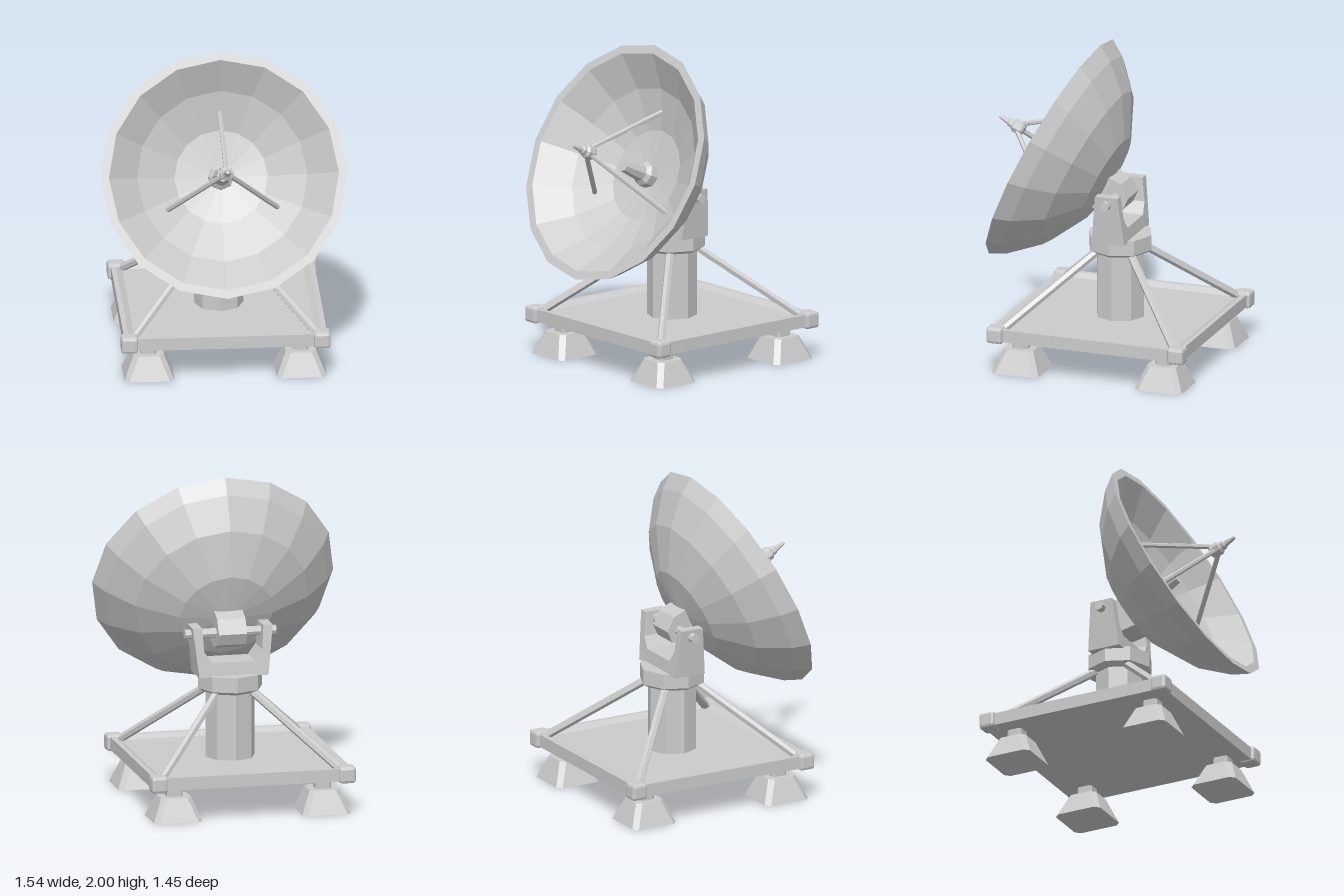
import * as THREE from 'three';
import { RoundedBoxGeometry } from 'three/addons/geometries/RoundedBoxGeometry.js';

const material = new THREE.MeshStandardMaterial({ color: 0xcccccc, flatShading: true });

function add(parent, name, geometry, x = 0, y = 0, z = 0) {
  const mesh = new THREE.Mesh(geometry, material);
  mesh.name = name;
  mesh.position.set(x, y, z);
  parent.add(mesh);
  return mesh;
}

// Faceted solid of revolution from [radius, height] pairs
function turned(profile, sides) {
  return new THREE.LatheGeometry(profile.map(([r, h]) => new THREE.Vector2(r, h)), sides);
}

// Straight bar between two points
function bar(parent, name, from, to, radius, sides) {
  const dir = to.clone().sub(from);
  const mesh = add(parent, name, new THREE.CylinderGeometry(radius, radius, dir.length(), sides));
  mesh.position.copy(from).add(to).multiplyScalar(0.5);
  mesh.quaternion.setFromUnitVectors(new THREE.Vector3(0, 1, 0), dir.normalize());
}

// Square block with bevelled upright edges, standing on y = 0
function bevelledBlock(bottom, top, height, bevel) {
  const geometry = new THREE.CylinderGeometry(1, 1, height, 8, 1, false, Math.PI / 8);
  geometry.translate(0, height / 2, 0);
  const p = geometry.attributes.position;
  for (let i = 0; i < p.count; i++) {
    const half = p.getY(i) > height / 2 ? top : bottom;
    const square = (v) => Math.abs(v) < 0.01 ? 0 : Math.sign(v) * (Math.abs(v) > 0.7 ? half : half - bevel);
    p.setX(i, square(p.getX(i)));
    p.setZ(i, square(p.getZ(i)));
  }
  geometry.computeVertexNormals();
  return geometry;
}

function shapeFrom(points) {
  return new THREE.Shape(points.map(([x, y]) => new THREE.Vector2(x, y)));
}

function createBase() {
  const base = new THREE.Group();
  base.name = 'base';

  // Square platform with a raised rim
  const s = Math.SQRT2;
  const platform = turned([[0, 0.21], [0.63 * s, 0.21], [0.63 * s, 0.29], [0.6 * s, 0.29],
    [0.56 * s, 0.265], [0, 0.265]], 4);
  add(base, 'platform', platform.rotateY(Math.PI / 4));

  // Feet, corner blocks and diagonal braces
  for (const sx of [-1, 1]) {
    for (const sz of [-1, 1]) {
      add(base, 'foot', bevelledBlock(0.155, 0.095, 0.145, 0.03), sx * 0.473, 0, sz * 0.473);
      add(base, 'footNeck', bevelledBlock(0.05, 0.05, 0.08, 0.015), sx * 0.473, 0.14, sz * 0.473);
      add(base, 'cornerBlock', new RoundedBoxGeometry(0.105, 0.105, 0.105, 1, 0.018), sx * 0.598, 0.25, sz * 0.598);
      bar(base, 'brace', new THREE.Vector3(sx * 0.58, 0.26, sz * 0.58),
        new THREE.Vector3(sx * 0.11, 0.695, sz * 0.11), 0.026, 6);
    }
  }

  // Pillar and turntable collar
  add(base, 'pillar', new THREE.CylinderGeometry(0.155, 0.155, 0.46, 8), 0, 0.48, 0);
  add(base, 'collar', turned([[0, 0.685], [0.175, 0.685], [0.205, 0.705], [0.205, 0.8], [0, 0.8]], 8));

  // U-shaped yoke, thinner towards the top
  const outline = shapeFrom([[-0.22, 0.79], [0.22, 0.79], [0.255, 1.1], [0.195, 1.1], [0.185, 0.95],
    [0.137, 0.88], [-0.137, 0.88], [-0.185, 0.95], [-0.195, 1.1], [-0.255, 1.1]]);
  const yoke = new THREE.ExtrudeGeometry(outline, { depth: 2, bevelEnabled: false }).translate(0, 0, -1);
  const p = yoke.attributes.position;
  for (let i = 0; i < p.count; i++) p.setZ(i, p.getZ(i) * (0.108 - 0.11 * (p.getY(i) - 0.79)));
  yoke.computeVertexNormals();
  add(base, 'yoke', yoke);
  add(base, 'pivotPin', new THREE.CylinderGeometry(0.03, 0.03, 0.58, 8).rotateZ(Math.PI / 2), 0, 1.05, 0);
  return base;
}

// Dish assembly: local +z is the pointing axis, origin at the rim centre
function createDish() {
  const dish = new THREE.Group();
  dish.name = 'dishAssembly';

  // Bowl: back surface, flat rim, shallower inside
  const bowl = turned([[0, -0.45], [0.295, -0.402], [0.55, -0.263], [0.708, -0.102], [0.768, 0],
    [0.715, 0], [0.53, -0.163], [0.29, -0.28], [0, -0.315]], 16);
  add(dish, 'bowl', bowl.rotateX(Math.PI / 2));

  // Horn in the middle of the bowl
  const horn = turned([[0, -0.35], [0.08, -0.35], [0.08, -0.25], [0.057, -0.225], [0.038, -0.07], [0, -0.07]], 8);
  add(dish, 'centreHorn', horn.rotateX(Math.PI / 2));

  // Receiver at the focus
  const receiver = turned([[0, 0.195], [0.032, 0.195], [0.045, 0.21], [0.045, 0.262], [0.03, 0.275],
    [0.03, 0.295], [0.022, 0.305], [0.01, 0.375], [0, 0.375]], 8);
  add(dish, 'receiver', receiver.rotateX(Math.PI / 2));

  // Three struts holding the receiver
  for (let i = 0; i < 3; i++) {
    const a = Math.PI / 2 + i * Math.PI * 2 / 3;
    bar(dish, 'strut', new THREE.Vector3(0.4 * Math.cos(a), 0.4 * Math.sin(a), -0.235),
      new THREE.Vector3(0.025 * Math.cos(a), 0.025 * Math.sin(a), 0.235), 0.016, 6);
  }

  // Bracket between the bowl and the pivot pin; side outline as [-z, y]
  const side = shapeFrom([[0.4, 0.06], [0.52, 0.06], [0.6, 0], [0.6, -0.08], [0.53, -0.15], [0.4, -0.18]]);
  const bracket = new THREE.ExtrudeGeometry(side, { depth: 0.18, bevelEnabled: false });
  add(dish, 'bracket', bracket.translate(0, 0, -0.09).rotateY(Math.PI / 2));

  dish.position.set(0, 1.305, 0.385);
  dish.rotation.x = -THREE.MathUtils.degToRad(25);
  return dish;
}

export function createModel() {
  const model = new THREE.Group();
  model.name = 'satelliteDish';
  const base = createBase();
  base.position.z = -0.075;
  model.add(base, createDish());
  return model;
}
